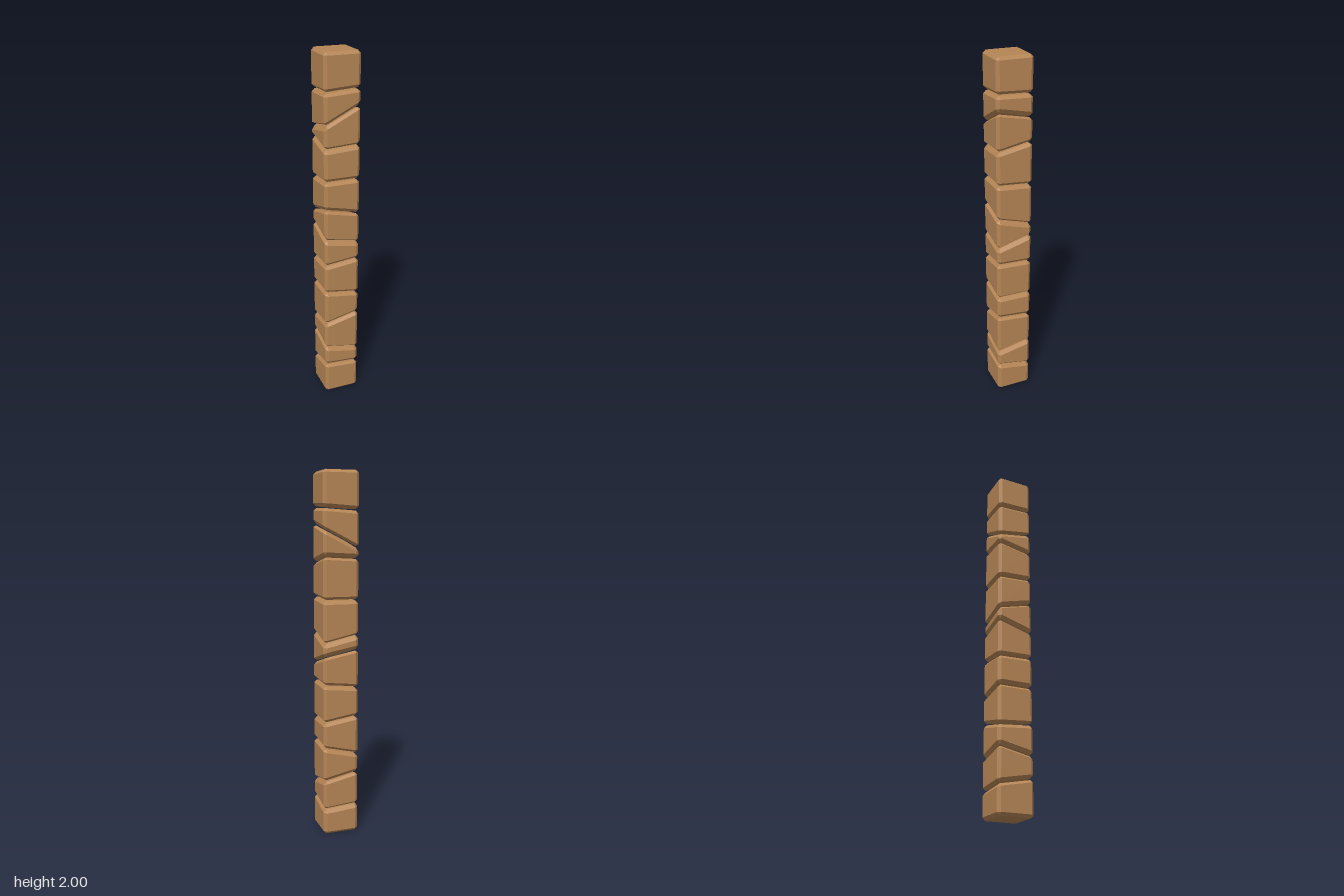
import * as THREE from 'three';
import { ConvexGeometry } from 'three/addons/geometries/ConvexGeometry.js';

const HALF = 0.1;    // half width of the column
const BEVEL = 0.016; // chamfer on every edge
const GAP = 0.008;   // narrow slit between blocks

// Slanted joints, bottom to top: height at three corners
// [left front (+x +z), right front (-x +z), left back (+x -z)]
const JOINTS = [
  [0.18, 0.196, 0.142],
  [0.27, 0.312, 0.312],
  [0.52, 0.472, 0.502],
  [0.647, 0.678, 0.645],
  [0.865, 0.844, 0.857],
  [0.959, 0.997, 1.016],
  [1.138, 1.182, 1.081],
  [1.334, 1.334, 1.319],
  [1.517, 1.506, 1.556],
  [1.732, 1.632, 1.692],
  [1.815, 1.802, 1.807],
];

// Plane through a joint, returned as a height function of x and z
function jointPlane([leftFront, rightFront, leftBack], offset = 0) {
  const sx = (leftFront - rightFront) / (2 * HALF);
  const sz = (leftFront - leftBack) / (2 * HALF);
  return (x, z) => leftFront + sx * (x - HALF) + sz * (z - HALF) + offset;
}

// Chamfered block between two slanted planes
function blockGeometry(bottom, top) {
  const inner = HALF - BEVEL;
  const points = [];
  for (const sx of [-1, 1]) {
    for (const sz of [-1, 1]) {
      const add = (x, z, inset) => {
        points.push(new THREE.Vector3(x, bottom(x, z) + inset, z));
        points.push(new THREE.Vector3(x, top(x, z) - inset, z));
      };
      add(sx * inner, sz * inner, 0);
      add(sx * HALF, sz * inner, BEVEL);
      add(sx * inner, sz * HALF, BEVEL);
    }
  }
  return new ConvexGeometry(points);
}

export function createModel() {
  const group = new THREE.Group();
  group.name = 'blockColumn';
  const wood = new THREE.MeshStandardMaterial({ name: 'warm brown', color: 0xb58555 });

  // Stack of blocks from the flat base to the flat top
  for (let i = 0; i <= JOINTS.length; i++) {
    const bottom = i === 0 ? () => 0 : jointPlane(JOINTS[i - 1], GAP / 2);
    const top = i === JOINTS.length ? () => 2 : jointPlane(JOINTS[i], -GAP / 2);
    const block = new THREE.Mesh(blockGeometry(bottom, top), wood);
    block.name = `block${i + 1}`;
    group.add(block);
  }
  return group;
}
